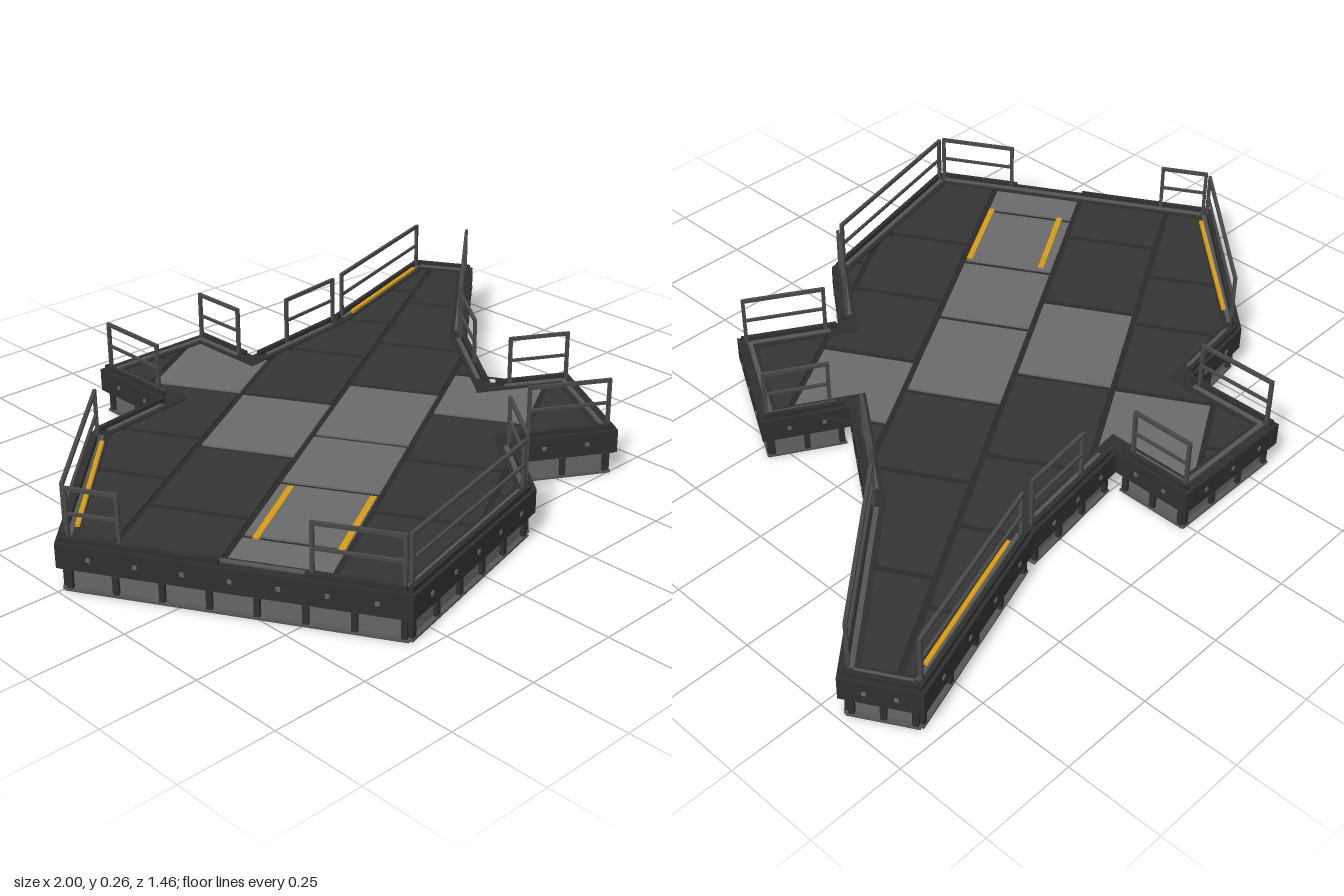
import * as THREE from 'three';
import { mergeGeometries } from 'three/addons/utils/BufferGeometryUtils.js';

const mat = (name, color) => {
  const m = new THREE.MeshStandardMaterial({ color });
  m.name = name;
  return m;
};

// Plan outline as [x, z], running round the platform from its right tip
const OUTLINE = [
  [-1, 0], [-0.592, -0.418], [-0.338, -0.452], [-0.338, -0.728], [0.028, -0.728],
  [0.028, -0.508], [0.37, -0.553], [0.9, -0.723], [0.998, -0.555], [0.572, -0.188],
  [0.368, 0.092], [0.563, 0.205], [0.381, 0.52], [0.143, 0.378], [-0.018, 0.587], [-0.582, 0.729],
];
const N = OUTLINE.length;
const NOTCHES = [2, 5, 9, 10, 13]; // inner corners, where the skirt leaves a gap

// Deck panel rows run at 30 degrees: u along a row, v across the rows
const C = Math.cos(Math.PI / 6), S = 0.5;
const toUV = ([x, z]) => [C * x - S * z, S * x + C * z];
const toXZ = ([u, v]) => [C * u + S * v, -S * u + C * v];

function edge(i) {
  const a = OUTLINE[i], b = OUTLINE[(i + 1) % N];
  const length = Math.hypot(b[0] - a[0], b[1] - a[1]);
  const d = [(b[0] - a[0]) / length, (b[1] - a[1]) / length];
  return { a, d, n: [-d[1], d[0]], length };
}

// Outline moved inwards by a distance
function inset(dist) {
  return OUTLINE.map((p, i) => {
    const n1 = edge((i + N - 1) % N).n, n2 = edge(i).n;
    const k = dist / (1 + n1[0] * n2[0] + n1[1] * n2[1]);
    return [p[0] + (n1[0] + n2[0]) * k, p[1] + (n1[1] + n2[1]) * k];
  });
}

// Keep the part of a polygon where sign * p[axis] >= sign * limit
function cut(poly, axis, limit, sign) {
  const out = [];
  poly.forEach((p, i) => {
    const q = poly[(i + 1) % poly.length];
    const dp = sign * (p[axis] - limit), dq = sign * (q[axis] - limit);
    if (dp >= 0) out.push(p);
    if (dp * dq < 0) {
      const t = dp / (dp - dq);
      out.push([p[0] + (q[0] - p[0]) * t, p[1] + (q[1] - p[1]) * t]);
    }
  });
  return out;
}

function clipToCell(poly, u0, u1, v0, v1) {
  let p = poly.map(toUV);
  p = cut(cut(p, 0, u0, 1), 0, u1, -1);
  p = cut(cut(p, 1, v0, 1), 1, v1, -1);
  return p.map(toXZ);
}

const vecs = (pts) => pts.map(([x, z]) => new THREE.Vector2(x, -z));

// Flat slab between two heights; a hole winds the other way round
function slab(pts, y0, y1, hole) {
  const shape = new THREE.Shape(vecs(pts));
  if (hole) shape.holes.push(new THREE.Path(vecs(hole).reverse()));
  const g = new THREE.ExtrudeGeometry(shape, { depth: y1 - y0, bevelEnabled: false });
  return g.rotateX(-Math.PI / 2).translate(0, y0, 0);
}

// Box lying along an edge from distance s0 to s1, centred at a given inset
function edgeBox(i, s0, s1, off, width, y0, y1) {
  const { a, d, n } = edge(i), s = (s0 + s1) / 2;
  return new THREE.BoxGeometry(s1 - s0, y1 - y0, width)
    .rotateY(Math.atan2(-d[1], d[0]))
    .translate(a[0] + d[0] * s + n[0] * off, (y0 + y1) / 2, a[1] + d[1] * s + n[1] * off);
}

export function createModel() {
  const group = new THREE.Group();
  const M = {
    frame: mat('dark frame', 0x2f2f2f),
    seam: mat('seam black', 0x2a2a2a),
    dark: mat('dark deck', 0x343434),
    light: mat('light deck', 0x6a6a6c),
    wall: mat('wall grey', 0x656566),
    trim: mat('trim grey', 0x555556),
    rail: mat('rail grey', 0x484849),
    under: mat('underside black', 0x2d2d2d),
    yellow: mat('warning yellow', 0xd49b1c),
  };
  const add = (name, geometry, material) => {
    const mesh = new THREE.Mesh(Array.isArray(geometry) ? mergeGeometries(geometry) : geometry, material);
    mesh.name = name;
    group.add(mesh);
  };

  // Rim, deck base and underside
  add('rimBand', slab(OUTLINE, 0.063, 0.126, inset(0.048)), M.frame);
  add('deckBase', slab(inset(0.045), 0.106, 0.118), M.seam);
  add('underside', slab(inset(0.045), 0.1, 0.106), M.under);
  add('rimSoffit', slab(inset(0.004), 0.06, 0.064, inset(0.055)), M.trim);

  // Deck panels: row limits in v, panel limits in u, index of light panels
  const rows = [
    { v: [-1.2, -0.63], u: [-1.3, 0.2, 1.3], light: [] },
    { v: [-0.63, -0.37], u: [-1.3, -0.49, -0.26, 0.03, 0.36, 0.62, 1.3], light: [3] },
    { v: [-0.37, -0.11], u: [-1.3, -0.63, -0.3, 0.03, 0.36, 0.62, 0.89, 1.3], light: [2] },
    { v: [-0.11, 0.15], u: [-1.3, -0.71, -0.435, -0.163, 0.165, 0.47, 0.8, 1.3], light: [0, 1, 2, 3] },
    { v: [0.15, 0.41], u: [-1.3, -0.52, -0.234, 0.045, 0.31, 1.3], light: [3] },
    { v: [0.41, 1.2], u: [-1.3, -0.36, -0.1, 1.3], light: [] },
  ];
  const deck = inset(0.047), gap = 0.008;
  rows.forEach(({ v, u, light }) => {
    for (let i = 0; i < u.length - 1; i++) {
      const p = clipToCell(deck, u[i] + gap, u[i + 1] - gap, v[0] + gap, v[1] - gap);
      if (p.length < 3) continue;
      const isLight = light.includes(i);
      add(isLight ? 'lightDeckPanel' : 'darkDeckPanel', slab(p, 0.117, 0.123), isLight ? M.light : M.dark);
    }
  });

  // Beams under the deck, along the panel rows
  for (const v of [-0.37, -0.11, 0.15]) {
    add('underBeam', slab(clipToCell(inset(0.046), -1.3, 1.3, v - 0.022, v + 0.022), 0.066, 0.101), M.trim);
  }

  // Skirt, posts, bolts, curbs and trim on every edge
  const walls = [], flanges = [], posts = [], bolts = [], curbs = [], trims = [];
  for (let i = 0; i < N; i++) {
    const L = edge(i).length;
    const a = NOTCHES.includes(i) ? 0.02 : 0.025;
    const b = NOTCHES.includes((i + 1) % N) ? L - 0.02 : L - 0.025;
    walls.push(edgeBox(i, a, b, 0.033, 0.02, 0.005, 0.062));
    flanges.push(edgeBox(i, a - 0.012, b + 0.012, 0.037, 0.054, 0, 0.006));
    const bays = Math.max(2, Math.round(L / 0.125)), step = (b - a) / bays;
    for (let k = 0; k <= bays; k++) {
      const s = a + k * step;
      posts.push(edgeBox(i, s - 0.007, s + 0.007, 0.02, 0.016, 0, 0.062));
      if (k < bays) bolts.push(edgeBox(i, s + step / 2 - 0.005, s + step / 2 + 0.005, 0, 0.006, 0.09, 0.1));
    }
    trims.push(edgeBox(i, 0.03, L - 0.03, 0.03, 0.012, 0.125, 0.13));
    if (i === 3 || i === 11) continue; // open landing edges
    const spans = i === N - 1 ? [[0.02, 0.25], [0.45, L - 0.01]] : [[0.01, L - 0.01]];
    spans.forEach(([s0, s1]) => curbs.push(edgeBox(i, s0, s1, 0.015, 0.012, 0.124, 0.139)));
  }
  add('skirtWalls', walls, M.wall);
  add('floorFlanges', flanges, M.trim);
  add('skirtPosts', posts, M.frame);
  add('rimBolts', bolts, M.wall);
  add('curbs', curbs, M.frame);
  add('rimTrim', trims, M.trim);

  // Railings: edge, start and end as fractions of the edge
  const railings = [
    [0, 0.06, 0.92], [2, 0.15, 0.92], [4, 0.1, 0.85], [5, 0.36, 0.96],
    [6, 0.06, 0.95], [8, 0.06, 0.95], [9, 0.08, 0.64], [10, 0.2, 0.92],
    [12, 0.08, 0.85], [13, 0.1, 0.9], [14, 0.05, 0.95], [15, 0.03, 0.28], [15, 0.82, 0.97],
  ];
  railings.forEach(([i, f0, f1]) => {
    const L = edge(i).length, s0 = f0 * L, s1 = f1 * L, r = 0.0045;
    add('railing', [
      edgeBox(i, s0 - r, s0 + r, 0.022, 2 * r, 0.124, 0.264),
      edgeBox(i, s1 - r, s1 + r, 0.022, 2 * r, 0.124, 0.264),
      edgeBox(i, s0, s1, 0.022, 2 * r, 0.255, 0.264),
      edgeBox(i, s0, s1, 0.022, 0.007, 0.193, 0.2),
    ], M.rail);
  });

  // Yellow warning stripes by two edges and either side of the hatch
  const stripes = [
    [-0.92, -0.02, -0.62, -0.335, 0.011, 0.138], [0.446, -0.537, 0.842, -0.668, 0.011, 0.138],
    [-0.655, 0.297, -0.43, 0.165, 0.016, 0.127], [-0.553, 0.473, -0.323, 0.341, 0.016, 0.127],
  ];
  stripes.forEach(([x0, z0, x1, z1, w, top]) => {
    const g = new THREE.BoxGeometry(Math.hypot(x1 - x0, z1 - z0), 0.008, w)
      .rotateY(Math.atan2(z0 - z1, x1 - x0))
      .translate((x0 + x1) / 2, top - 0.004, (z0 + z1) / 2);
    add('warningStripe', g, M.yellow);
  });

  return group;
}
